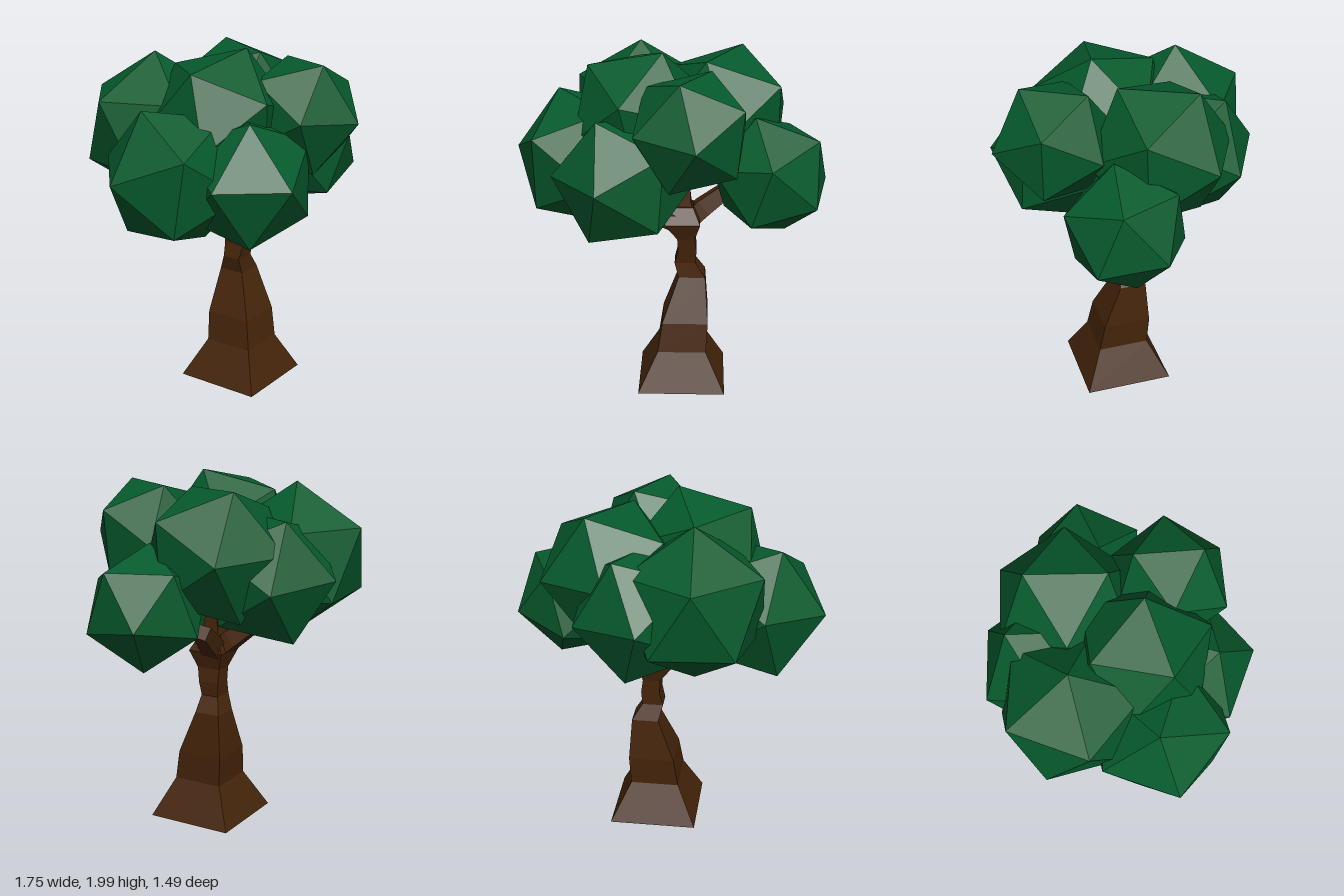
import * as THREE from 'three';

const bark = new THREE.MeshStandardMaterial({ color: 0x46250a, flatShading: true });
const leaf = new THREE.MeshStandardMaterial({ color: 0x065a2d, flatShading: true });
const V = (p) => new THREE.Vector3(...p);

// Orthonormal frame whose first axis is a, with b in its first plane
function frame(a, b) {
  const x = a.clone().normalize();
  const z = x.clone().cross(b).normalize();
  return new THREE.Matrix4().makeBasis(x, z.clone().cross(x), z);
}

// Icosahedral leaf clump, turned so two neighbouring corners point at p and q
function clump(name, center, radius, p, q) {
  const t = (1 + Math.sqrt(5)) / 2;
  const from = frame(V([-1, t, 0]), V([0, 1, t]));
  const c = V(center);
  const to = frame(V(p).sub(c), V(q).sub(c));
  const geo = new THREE.IcosahedronGeometry(radius, 0);
  geo.applyMatrix4(to.multiply(from.transpose()));
  const mesh = new THREE.Mesh(geo, leaf);
  mesh.position.copy(c);
  mesh.name = name;
  return mesh;
}

// Four-sided limb lofted through rings [x, y, z, halfWidth, halfDepth]
function limb(name, rings, upright) {
  const pos = [], idx = [];
  rings.forEach((r, i) => {
    const next = V(rings[Math.min(i + 1, rings.length - 1)].slice(0, 3));
    const prev = V(rings[Math.max(i - 1, 0)].slice(0, 3));
    const dir = upright ? V([0, 1, 0]) : next.sub(prev).normalize();
    const turn = new THREE.Quaternion().setFromUnitVectors(V([0, 1, 0]), dir);
    for (const [sx, sz] of [[1, 1], [1, -1], [-1, -1], [-1, 1]]) {
      const v = V([sx * r[3], 0, sz * r[4]]).applyQuaternion(turn);
      pos.push(v.x + r[0], v.y + r[1], v.z + r[2]);
    }
  });
  for (let i = 0; i < rings.length - 1; i++) {
    for (let k = 0; k < 4; k++) {
      const a = i * 4 + k, b = i * 4 + (k + 1) % 4;
      idx.push(a, b, b + 4, a, b + 4, a + 4);
    }
  }
  const e = (rings.length - 1) * 4;
  idx.push(0, 2, 1, 0, 3, 2, e, e + 1, e + 2, e, e + 2, e + 3);
  const geo = new THREE.BufferGeometry();
  geo.setAttribute('position', new THREE.Float32BufferAttribute(pos, 3));
  geo.setIndex(idx);
  const flat = geo.toNonIndexed();
  flat.computeVertexNormals();
  const mesh = new THREE.Mesh(flat, bark);
  mesh.name = name;
  return mesh;
}

export function createModel() {
  const tree = new THREE.Group();
  tree.name = 'tree';

  // Trunk with flared foot and knotted waist
  tree.add(limb('trunk', [
    [0.075, 0, 0.05, 0.25, 0.25],
    [0.075, 0.22, 0.055, 0.14, 0.145],
    [0.093, 0.39, 0.035, 0.132, 0.135],
    [0.13, 0.64, -0.005, 0.077, 0.075],
    [0.09, 0.73, 0.01, 0.06, 0.053],
    [0.103, 0.81, 0.015, 0.053, 0.062],
    [0.095, 0.89, 0.02, 0.05, 0.07],
    [0.075, 0.99, 0.025, 0.1, 0.105],
    [0.075, 1.08, 0.02, 0.06, 0.06],
  ], true));

  // Branches
  const branches = {
    leftBranch: [[0.1, 0.97, 0.0, 0.05, 0.05], [0.19, 1.05, -0.02, 0.05, 0.05], [0.33, 1.15, -0.05, 0.04, 0.04]],
    rightBranch: [[0.06, 0.98, 0.05, 0.05, 0.05], [-0.07, 1.03, 0.06, 0.045, 0.045],
      [-0.2, 1.06, 0.06, 0.035, 0.035], [-0.29, 1.14, 0.05, 0.025, 0.025]],
    backBranch: [[0.08, 0.98, 0.0, 0.05, 0.05], [0.06, 1.06, -0.09, 0.05, 0.05], [0.03, 1.17, -0.24, 0.035, 0.035]],
    topBranch: [[0.08, 1.0, 0.02, 0.06, 0.06], [0.075, 1.12, 0.02, 0.045, 0.045], [0.08, 1.23, 0.02, 0.035, 0.035]],
  };
  for (const [name, rings] of Object.entries(branches)) tree.add(limb(name, rings, false));

  // Foliage: centre, radius, two neighbouring corners
  const clumps = [
    ['leftLeaves', [0.56, 1.31, 0.15], 0.348, [0.87, 1.25, 0.02], [0.81, 1.53, 0.24]],
    ['frontLeaves', [0.12, 1.63, 0.405], 0.345, [0.15, 1.62, 0.74], [0.41, 1.79, 0.53]],
    ['frontRightLeaves', [-0.24, 1.33, 0.3], 0.39, [-0.37, 1.36, 0.68], [-0.62, 1.36, 0.35]],
    ['rightLeaves', [-0.48, 1.36, 0], 0.405, [-0.87, 1.38, -0.11], [-0.76, 1.54, 0.27]],
    ['backRightLeaves', [-0.18, 1.515, -0.36], 0.425, [-0.175, 1.94, -0.36], [-0.2, 1.7, -0.74]],
    ['backLeaves', [0.1, 1.446, -0.335], 0.393, [0.08, 1.46, -0.73], [0.44, 1.42, -0.53]],
    ['topLeftLeaves', [0.295, 1.58, -0.12], 0.41, [0.41, 1.95, -0.3], [0.62, 1.78, 0.07]],
    ['topLeaves', [-0.16, 1.62, 0.07], 0.4, [-0.03, 2.0, 0.16], [-0.44, 1.87, 0.08]],
  ];
  for (const c of clumps) tree.add(clump(...c));
  return tree;
}
